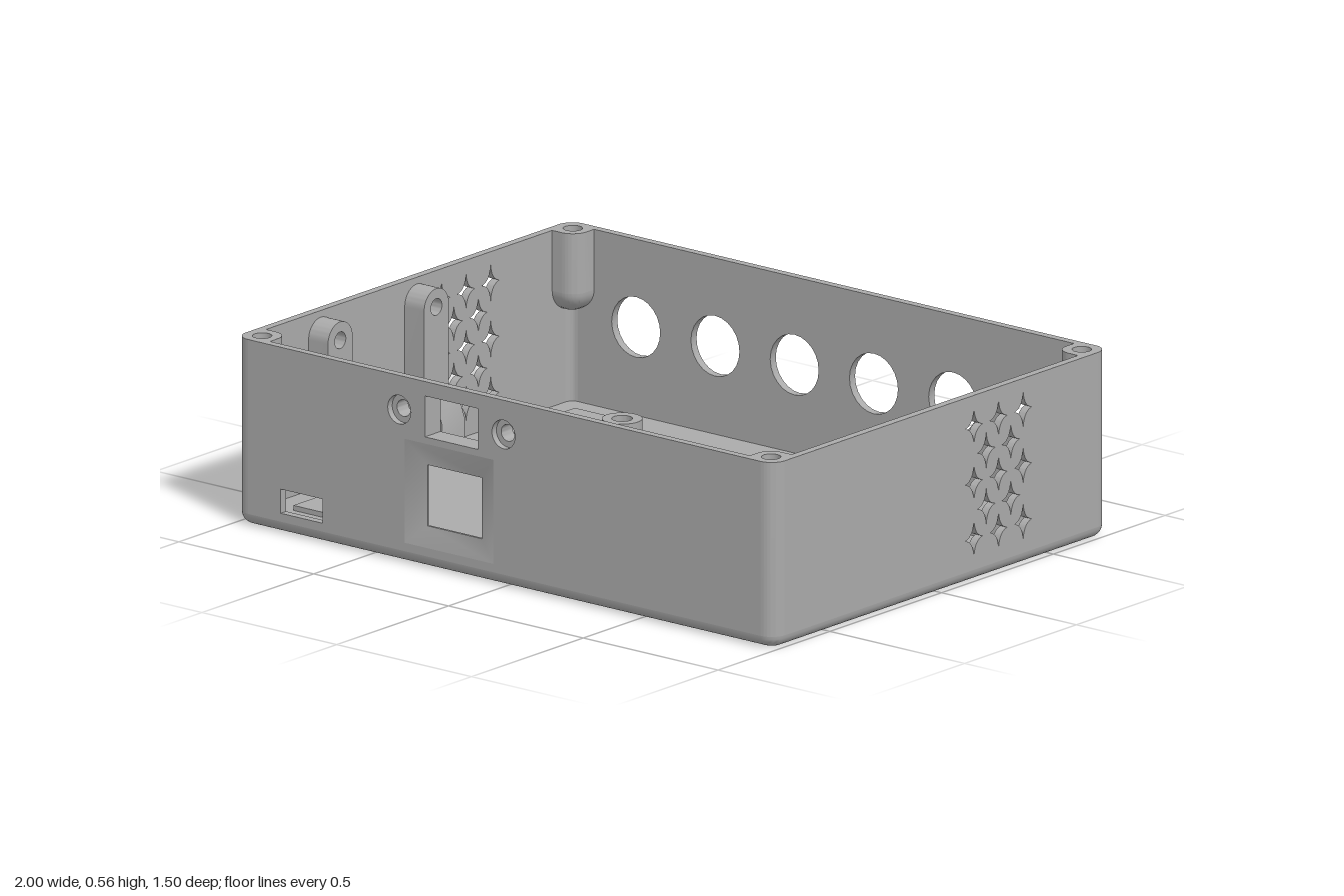
import * as THREE from 'three';
import { toCreasedNormals } from 'three/addons/utils/BufferGeometryUtils.js';

const W = 1, D = 0.75, H = 0.555, T = 0.025, R = 0.05, F = 0.035, FLOOR = 0.03;

export function createModel() {
  const model = new THREE.Group();
  model.name = 'enclosure';
  const grey = new THREE.MeshStandardMaterial({ color: 0xaaaaaa, side: THREE.DoubleSide });
  grey.name = 'grey plastic';

  const add = (name, geometry) => {
    const mesh = new THREE.Mesh(toCreasedNormals(geometry, 0.6), grey);
    mesh.name = name;
    model.add(mesh);
    return mesh;
  };
  const extrude = (shape, depth, steps = 1) =>
    new THREE.ExtrudeGeometry(shape, { depth, steps, bevelEnabled: false, curveSegments: 12 });

  // Outline helpers
  const trace = (path, pts) => { path.setFromPoints(pts.map(p => new THREE.Vector2(p[0], p[1]))); path.closePath(); return path; };
  const rect = (x0, y0, x1, y1, C = THREE.Path) => trace(new C(), [[x0, y0], [x1, y0], [x1, y1], [x0, y1]]);
  const circle = (x, y, r) => new THREE.Path().absarc(x, y, r, 0, Math.PI * 2);
  const star = (x, y, w, h) => {
    const p = new THREE.Path().moveTo(x + w, y);
    for (const [dx, dy] of [[0, 1], [-1, 0], [0, -1], [1, 0]]) {
      const last = p.currentPoint.clone();
      const cx = (dx || Math.sign(Math.round((last.x - x) * 1000))) * w * 0.1;
      const cy = (dy || Math.sign(Math.round((last.y - y) * 1000))) * h * 0.1;
      p.quadraticCurveTo(x + cx, y + cy, x + dx * w, y + dy * h);
    }
    return p;
  };

  // Skin between equal closed loops of points
  const loft = (loops) => {
    const n = loops[0].length, index = [];
    for (let j = 0; j < loops.length - 1; j++)
      for (let i = 0; i < n; i++) {
        const a = j * n + i, b = j * n + (i + 1) % n;
        index.push(a, a + n, b, b, a + n, b + n);
      }
    const g = new THREE.BufferGeometry();
    g.setAttribute('position', new THREE.Float32BufferAttribute(loops.flat(2), 3));
    g.setIndex(index);
    g.computeVertexNormals();
    return g;
  };

  // Rounded rectangle as [x, z] points, inset from the outside of the box
  const roundedLoop = (inset) => {
    const pts = [], r = R - inset;
    [[1, 1], [-1, 1], [-1, -1], [1, -1]].forEach(([sx, sz], q) => {
      for (let i = 0; i <= 8; i++) {
        const a = (q + i / 8) * Math.PI / 2;
        pts.push([sx * (W - R) + r * Math.cos(a), sz * (D - R) + r * Math.sin(a)]);
      }
    });
    return pts;
  };

  // Floor with foot recesses and vents
  const floor = trace(new THREE.Shape(), roundedLoop(F));
  const pads = [];
  for (const x of [-0.777, 0.767]) for (const z of [-0.525, 0.52]) pads.push([x, z]);
  for (const [x, z] of pads) floor.holes.push(rect(x - 0.107, -z - 0.107, x + 0.107, -z + 0.107));
  for (let row = 0; row < 5; row++) {
    const y = 0.371 - row * 0.0548, odd = row % 2;
    const count = row === 0 ? 10 : odd ? 10 : 11;
    for (let i = 0; i < count; i++) floor.holes.push(star(-0.85 + (i + odd / 2) * 0.167, y, 0.056, 0.04));
    if (odd) floor.holes.push(trace(new THREE.Path(),
      [[0.849, y], [0.89, y + 0.012], [0.9, y + 0.036], [0.9, y - 0.036], [0.89, y - 0.012]]));
  }
  add('floor', extrude(floor, FLOOR).rotateX(-Math.PI / 2));
  for (const [x, z] of pads) add('footPad', new THREE.BoxGeometry(0.215, 0.025, 0.215).translate(x, 0.0325, z));

  // Rounded lower edge
  const edge = [];
  for (let i = 0; i <= 6; i++) {
    const a = i / 6 * Math.PI / 2;
    edge.push([F - F * Math.sin(a), F - F * Math.cos(a)]);
  }
  edge.push([T, F], [T, FLOOR], [F, FLOOR]);
  add('lowerEdge', loft(edge.map(([inset, y]) => roundedLoop(inset).map(([x, z]) => [x, y, z]))));

  // Front wall with window, display opening, screw holes and port slot
  const front = rect(-W + R, F, W - R, H, THREE.Shape);
  const funnel = [-0.37, 0.06, -0.04, 0.37], opening = [-0.3, 0.12, -0.097, 0.302];
  front.holes.push(rect(...funnel), rect(-0.295, 0.39, -0.097, 0.512), rect(-0.83, 0.06, -0.675, 0.132));
  for (const x of [-0.39, -0.003]) front.holes.push(circle(x, 0.453, 0.043));
  add('frontWall', extrude(front, T).translate(0, 0, D - T));

  // Sunken bezel around the display opening
  const rectLoop = ([x0, y0, x1, y1], z) => [[x0, y0, z], [x1, y0, z], [x1, y1, z], [x0, y1, z]];
  add('bezelSlope', loft([rectLoop(funnel, D), rectLoop(opening, D - 0.017)]));
  const bezel = rect(...funnel, THREE.Shape);
  bezel.holes.push(rect(...opening));
  add('bezelBack', extrude(bezel, 0.008).translate(0, 0, D - T));

  // Frame and screw blocks behind the front wall
  const frame = rect(-0.312, 0.37, -0.08, 0.532, THREE.Shape);
  frame.holes.push(rect(-0.295, 0.39, -0.097, 0.512));
  add('windowFrame', extrude(frame, 0.045).translate(0, 0, 0.68));
  for (const x of [-0.39, -0.003]) {
    const block = rect(x - 0.053, 0.387, x + 0.053, 0.519, THREE.Shape);
    block.holes.push(circle(x, 0.453, 0.025));
    add('screwBlock', extrude(block, 0.05).translate(0, 0, 0.68));
  }

  // Back wall with six round holes
  const back = rect(-W + R, F, W - R, H, THREE.Shape);
  for (let i = 0; i < 6; i++) back.holes.push(circle((i - 2.5) * 0.294, 0.293, 0.09));
  add('backWall', extrude(back, T).translate(0, 0, -D));

  // Side walls with star vents
  for (const [name, x] of [['leftWall', W - T], ['rightWall', -W]]) {
    const side = rect(-D + R, F, D - R, H, THREE.Shape);
    for (let row = 0; row < 5; row++) {
      const odd = row % 2;
      for (let i = 0; i < 3 - odd; i++)
        side.holes.push(star(0.145 + (i + odd / 2) * 0.11, 0.462 - row * 0.0835, 0.04, 0.054));
    }
    add(name, extrude(side, T).rotateY(Math.PI / 2).translate(x, 0, 0));
  }

  // Rounded corners and hanging screw posts
  const arc = new THREE.Shape();
  arc.absarc(W - R, D - R, R, 0, Math.PI / 2, false);
  arc.absarc(W - R, D - R, R - T, Math.PI / 2, 0, true);
  const postShape = () => {
    const s = new THREE.Shape().moveTo(0.975, 0.64).lineTo(0.975, 0.725).lineTo(0.89, 0.725).lineTo(0.89, 0.69);
    s.absarc(0.94, 0.69, 0.05, Math.PI, Math.PI * 1.5, false);
    return s;
  };
  const bored = postShape();
  bored.holes.push(circle(0.944, 0.695, 0.028));
  const tip = extrude(postShape(), 0.07, 8), p = tip.attributes.position;
  for (let i = 0; i < p.count; i++) {
    const k = Math.max(0.05, Math.sqrt(Math.max(0, 1 - (p.getZ(i) / 0.07) ** 2)));
    p.setXY(i, 0.975 + (p.getX(i) - 0.975) * k, 0.725 + (p.getY(i) - 0.725) * k);
  }
  for (const sx of [-1, 1]) for (const sz of [-1, 1]) {
    const down = Math.PI / 2;
    add('corner', extrude(arc, H - F).rotateX(down).translate(0, H, 0)).scale.set(sx, 1, sz);
    add('screwPost', extrude(bored, 0.18).rotateX(down).translate(0, H, 0)).scale.set(sx, 1, sz);
    add('screwPostTip', tip.clone().rotateX(down).translate(0, H - 0.18, 0)).scale.set(sx, 1, sz);
  }

  // Board standoffs
  const profile = [[0.07, 0.028], [0.07, 0.045], [0.058, 0.06], [0.058, 0.13], [0.03, 0.13], [0.03, 0.03]]
    .map(([r, y]) => new THREE.Vector2(r, y));
  for (const x of [-0.533, 0.882]) for (const z of [-0.42, 0.635])
    add('standoff', new THREE.LatheGeometry(profile, 32).translate(x, 0, z));

  // Round-topped brackets with a low clip on the right wall
  for (const z of [-0.035, 0.395]) {
    const bar = new THREE.Shape().moveTo(-0.055, FLOOR).lineTo(0.055, FLOOR).lineTo(0.055, 0.48);
    bar.absarc(0, 0.48, 0.055, 0, Math.PI, false);
    bar.holes.push(circle(0, 0.48, 0.025));
    add('bracket', extrude(bar, 0.075).rotateY(Math.PI / 2).translate(-0.978, 0, z));
    const clip = trace(new THREE.Shape(),
      [[-0.905, FLOOR], [-0.84, FLOOR], [-0.84, 0.15], [-0.868, 0.23], [-0.868, 0.11], [-0.905, 0.11]]);
    add('bracketClip', extrude(clip, 0.1).translate(0, 0, z - 0.05));
  }
  return model;
}
